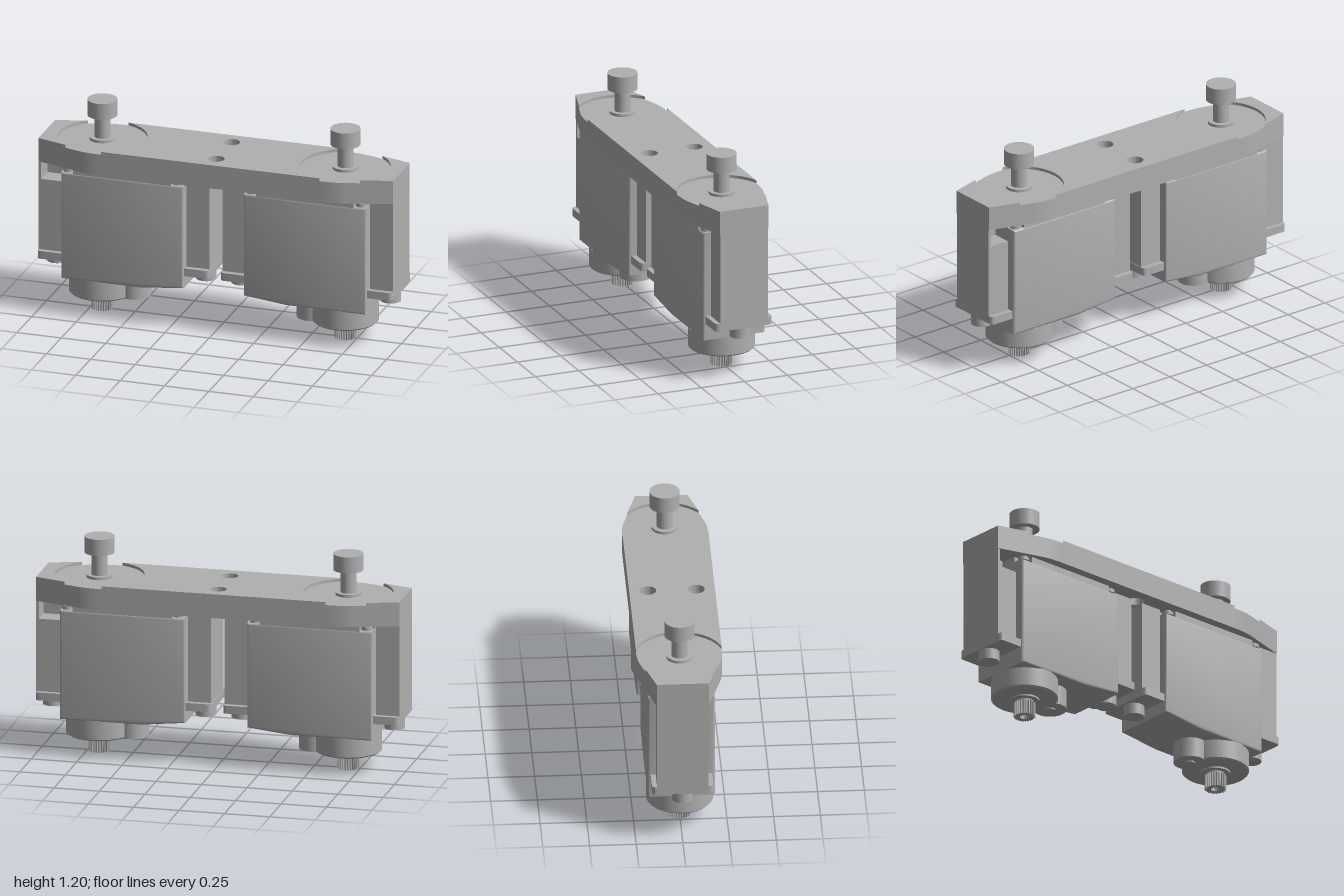
import * as THREE from 'three';
import { toCreasedNormals } from 'three/addons/utils/BufferGeometryUtils.js';

const AXIS = -0.685; // x of the output shaft on the -x side

export function createModel() {
  const gray = new THREE.MeshStandardMaterial({ color: 0xb0b0b0 });
  gray.name = 'plain gray';

  const add = (parent, name, geo, x = 0, y = 0, z = 0) => {
    const m = new THREE.Mesh(geo, gray);
    m.name = name;
    m.position.set(x, y, z);
    parent.add(m);
    return m;
  };
  const box = (parent, name, x0, x1, y0, y1, z0, z1) =>
    add(parent, name, new THREE.BoxGeometry(x1 - x0, y1 - y0, z1 - z0), (x0 + x1) / 2, (y0 + y1) / 2, (z0 + z1) / 2);
  const cyl = (parent, name, r, x, y0, y1, z = 0) =>
    add(parent, name, new THREE.CylinderGeometry(r, r, y1 - y0, 40), x, (y0 + y1) / 2, z);
  // Horizontal slab from an (x, z) outline
  const slab = (parent, name, shape, y0, y1) => {
    const g = new THREE.ExtrudeGeometry(shape, { depth: y1 - y0, bevelEnabled: false, curveSegments: 32 });
    g.rotateX(Math.PI / 2);
    return add(parent, name, toCreasedNormals(g, 0.5), 0, y1, 0);
  };
  const circle = (x, z, r) => new THREE.Path().absarc(x, z, r, 0, Math.PI * 2, true);
  const boltHoles = (shape) => {
    shape.holes.push(circle(0, 0.13, 0.045), circle(0, -0.13, 0.045));
    return shape;
  };

  const model = new THREE.Group();
  model.name = 'twinServoBracket';

  // Mounting plate with tapered ends
  const plate = new THREE.Shape();
  plate.moveTo(-1, -0.14);
  plate.lineTo(-0.75, -0.215);
  plate.quadraticCurveTo(-0.7, -0.23, -0.62, -0.23);
  plate.lineTo(0.62, -0.23);
  plate.quadraticCurveTo(0.7, -0.23, 0.75, -0.215);
  plate.lineTo(1, -0.14);
  plate.lineTo(1, 0.14);
  plate.lineTo(0.75, 0.215);
  plate.quadraticCurveTo(0.7, 0.23, 0.62, 0.23);
  plate.lineTo(-0.62, 0.23);
  plate.quadraticCurveTo(-0.7, 0.23, -0.75, 0.215);
  plate.lineTo(-1, 0.14);
  slab(model, 'mountingPlate', boltHoles(plate), 0.85, 0.967);

  // Raised top layer that leaves a round pocket at each end
  const mid = new THREE.Shape();
  mid.moveTo(0.616, 0.23);
  mid.lineTo(-0.616, 0.23);
  mid.absarc(AXIS, 0, 0.24, 1.281, -1.281, true);
  mid.lineTo(0.616, -0.23);
  mid.absarc(-AXIS, 0, 0.24, Math.PI + 1.281, Math.PI - 1.281, true);
  slab(model, 'plateTop', boltHoles(mid), 0.967, 0.983);

  const half = new THREE.Group();
  half.name = 'servoUnit';

  const end = new THREE.Shape();
  end.moveTo(-1, 0.14);
  end.lineTo(-0.83, 0.191);
  end.absarc(AXIS, 0, 0.24, 2.22, Math.PI * 2 - 2.22, false);
  end.lineTo(-1, -0.14);
  slab(half, 'plateTopEnd', end, 0.967, 0.983);

  // Servo case with sloping underside and softened edges
  const b = 0.012;
  const side = new THREE.Shape();
  [[-0.86 + b, 0.21 + b], [-0.41, 0.21 + b], [-0.17 - b, 0.235 + b], [-0.17 - b, 0.82 - b], [-0.86 + b, 0.82 - b]]
    .forEach(([x, y], i) => (i ? side.lineTo(x, y) : side.moveTo(x, y)));
  const caseGeo = new THREE.ExtrudeGeometry(side, {
    depth: 0.36 - 2 * b, bevelThickness: b, bevelSize: b, bevelSegments: 3,
  });
  add(half, 'servoCase', toCreasedNormals(caseGeo, 0.6), 0, 0, -0.18 + b);

  // Lid notched at the corners, with a case screw in each notch
  box(half, 'lidLong', -0.86, -0.17, 0.8, 0.85, -0.115, 0.115);
  box(half, 'lidWide', -0.79, -0.24, 0.8, 0.85, -0.178, 0.178);
  for (const x of [-0.825, -0.21])
    for (const z of [-0.147, 0.147]) {
      cyl(half, 'caseScrew', 0.03, x, 0.823, 0.843, z);
      cyl(half, 'caseScrewStem', 0.02, x, 0.81, 0.855, z);
    }

  // Inner standoff column
  box(half, 'innerColumn', -0.165, -0.037, 0.34, 0.85, -0.135, 0.135);

  // Outer standoff column with a cable opening at its front
  box(half, 'outerColumnBack', -1, -0.87, 0.34, 0.85, -0.138, 0.03);
  box(half, 'outerColumnFront', -1, -0.87, 0.34, 0.75, 0.03, 0.138);
  box(half, 'cableOpeningWall', -1, -0.985, 0.75, 0.85, 0.03, 0.138);

  // Mounting ears with rounded outer corners, and their screws
  const ear = (name, xIn, xOut) => {
    const s = Math.sign(xOut - xIn), r = 0.025, e = new THREE.Shape();
    e.moveTo(xIn, -0.165);
    e.lineTo(xOut - s * r, -0.165);
    e.quadraticCurveTo(xOut, -0.165, xOut, -0.165 + r);
    e.lineTo(xOut, 0.165 - r);
    e.quadraticCurveTo(xOut, 0.165, xOut - s * r, 0.165);
    e.lineTo(xIn, 0.165);
    slab(half, name, e, 0.303, 0.347);
  };
  ear('outerEar', -0.85, -1);
  ear('innerEar', -0.18, -0.033);
  cyl(half, 'outerEarScrew', 0.056, -0.94, 0.243, 0.305);
  cyl(half, 'innerEarScrew', 0.056, -0.1, 0.243, 0.305);

  // Round gear housing with a smaller lobe
  add(half, 'gearHousing', toCreasedNormals(new THREE.LatheGeometry(
    [[0, 0.1], [0.172, 0.1], [0.18, 0.108], [0.18, 0.215]].map((p) => new THREE.Vector2(...p)), 56), 0.5), AXIS);
  cyl(half, 'gearLobe', 0.088, -0.502, 0.1, 0.215);
  cyl(half, 'lobeScrew', 0.03, -0.502, 0.093, 0.102);

  // Output shaft: collar, neck and toothed spline with a bore
  cyl(half, 'shaftCollar', 0.08, AXIS, 0.09, 0.102);
  cyl(half, 'shaftNeck', 0.05, AXIS, 0.03, 0.092);
  const spline = new THREE.Shape();
  const teeth = 24;
  for (let i = 0; i < teeth * 4; i++) {
    const a = (i / (teeth * 4)) * Math.PI * 2, r = i % 4 < 2 ? 0.058 : 0.049;
    spline[i ? 'lineTo' : 'moveTo'](AXIS + r * Math.cos(a), r * Math.sin(a));
  }
  spline.closePath();
  spline.holes.push(circle(AXIS, 0, 0.024));
  slab(half, 'outputSpline', spline, 0, 0.08);

  // Top thumb screw
  cyl(half, 'thumbScrewCollar', 0.07, AXIS, 0.96, 0.982);
  cyl(half, 'thumbScrewShaft', 0.043, AXIS, 0.97, 1.11);
  cyl(half, 'thumbScrewHead', 0.081, AXIS, 1.105, 1.195);

  // The other unit is the same one turned half way round
  const other = half.clone();
  other.rotation.y = Math.PI;
  model.add(half, other);
  return model;
}
